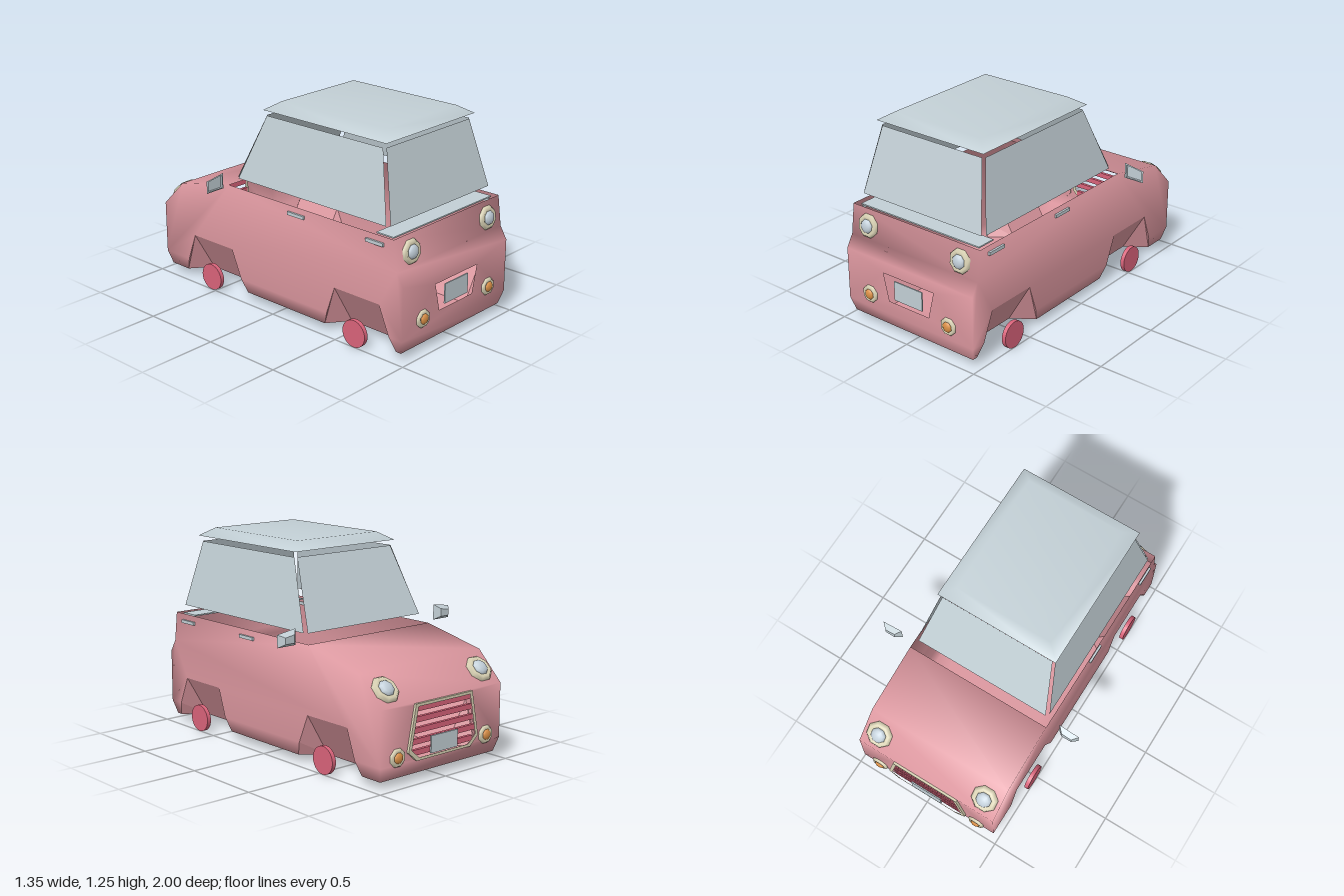
import * as THREE from 'three';
import { mergeVertices } from 'three/addons/utils/BufferGeometryUtils.js';

const paint = (name, color, side = THREE.FrontSide) => {
  const m = new THREE.MeshStandardMaterial({ color, side });
  m.name = name;
  return m;
};
const V = (x, y, z) => new THREE.Vector3(x, y, z);

// Collects triangles, all turned to face away from a centre point.
class Skin {
  constructor(centre) { this.centre = centre; this.data = []; }
  tri(a, b, c) {
    const n = b.clone().sub(a).cross(c.clone().sub(a));
    const out = a.clone().add(b).add(c).divideScalar(3).sub(this.centre);
    for (const p of n.dot(out) < 0 ? [a, c, b] : [a, b, c]) this.data.push(p.x, p.y, p.z);
  }
  quad(a, b, c, d) { this.tri(a, b, c); this.tri(a, c, d); }
  // flat outline with optional holes, placed in space by a map
  face(outline, holes, map) {
    const to2 = l => l.map(p => new THREE.Vector2(p[0], p[1]));
    const contour = to2(outline), inner = holes.map(to2);
    const all = [contour, ...inner].flat();
    for (const [a, b, c] of THREE.ShapeUtils.triangulateShape(contour, inner))
      this.tri(map(all[a]), map(all[b]), map(all[c]));
  }
  geometry(smooth) {
    let g = new THREE.BufferGeometry();
    g.setAttribute('position', new THREE.Float32BufferAttribute(this.data, 3));
    if (smooth) g = mergeVertices(g, 1e-4);
    g.computeVertexNormals();
    return g;
  }
}

export function createModel() {
  const car = new THREE.Group();
  car.name = 'car';
  const body = paint('bodyPink', 0xdc979f, THREE.DoubleSide);
  const rose = paint('wheelRose', 0xd9637a);
  const glass = paint('paleGrey', 0xc3d0d6, THREE.DoubleSide);
  const cream = paint('creamTrim', 0xd9d2b4);
  const lens = paint('lampGrey', 0xc2cfd9);
  const amber = paint('amber', 0xdb9046);
  const add = (name, geo, mat, parent = car) => {
    const m = new THREE.Mesh(geo, mat);
    m.name = name;
    parent.add(m);
    return m;
  };
  const box = (name, mat, w, h, d, x, y, z) =>
    add(name, new THREE.BoxGeometry(w, h, d), mat).position.set(x, y, z);

  // Body shell: flat sides with arch notches, chamfered sill, open top
  const W = 0.473, F = 0.45, D = 0.32, floorY = 0.045;
  const upper = [[-0.97, 0.455], [-0.8, 0.625], [-0.38, 0.715], [0.9, 0.715], [0.925, 0.53], [0.97, 0.455]];
  const sill = [[0.97, 0.13], [0.875, 0.13], [0.8, 0.305], [0.47, 0.305], [0.41, 0.13],
    [-0.295, 0.13], [-0.37, 0.305], [-0.7, 0.305], [-0.765, 0.13], [-0.97, 0.13]];
  const floor = [[F, 0.945], [F, 0.91], [D, 0.8], [D, 0.47], [F, 0.375],
    [F, -0.26], [D, -0.37], [D, -0.7], [F, -0.8], [F, -0.945]];
  const grille = [[-0.21, 0.44], [0.21, 0.44], [0.26, 0.19], [0.2, 0.13 + 0.008], [-0.2, 0.138], [-0.26, 0.19]];
  const recess = [[-0.19, 0.385], [0.19, 0.385], [0.15, 0.215], [-0.15, 0.215]];

  const shell = new Skin(V(0, 0.4, 0)), arches = new Skin(V(0, 0.4, 0));
  for (const s of [1, -1]) {
    shell.face([...upper, ...sill], [], p => V(s * W, p.y, p.x));
    for (let i = 0; i < sill.length - 1; i++) {
      const isArch = (i >= 1 && i <= 3) || (i >= 5 && i <= 7);
      const lo = k => V(s * floor[k][0], floorY, floor[k][1]);
      const hi = k => V(s * W, sill[k][1], sill[k][0]);
      (isArch ? arches : shell).quad(hi(i), hi(i + 1), lo(i + 1), lo(i));
    }
  }
  shell.face([...floor, ...floor.map(([x, z]) => [-x, z]).reverse()], [], p => V(p.x, floorY, p.y));
  for (const i of [0, 1, 3, 4]) {
    const [[z0, y0], [z1, y1]] = [upper[i], upper[i + 1]];
    shell.quad(V(-W, y0, z0), V(W, y0, z0), V(W, y1, z1), V(-W, y1, z1));
  }
  for (const [s, hole] of [[-1, grille], [1, recess]]) {
    shell.face([[-W, 0.13], [W, 0.13], [W, 0.455], [-W, 0.455]], [hole], p => V(p.x, p.y, s * 0.97));
    shell.quad(V(-W, 0.13, s * 0.97), V(W, 0.13, s * 0.97), V(F, floorY, s * 0.945), V(-F, floorY, s * 0.945));
  }
  add('bodyShell', shell.geometry(true), body);
  add('wheelArches', arches.geometry(false), body);

  // Roof cap
  const ring = (x, y, z0, z1) => [V(-x, y, z0), V(x, y, z0), V(x, y, z1), V(-x, y, z1)];
  const roof = new Skin(V(0, 1, 0.3));
  const eave = ring(0.39, 1.205, -0.165, 0.767), crown = ring(0.31, 1.255, -0.09, 0.695);
  for (let i = 0; i < 4; i++) roof.quad(eave[i], eave[(i + 1) % 4], crown[(i + 1) % 4], crown[i]);
  roof.quad(...crown);
  add('roof', roof.geometry(true), glass);

  // Window panes, separated at the corners
  const pane = (name, a, b, c, d) => {
    const p = new Skin(V(0, 0.9, 0.26));
    p.quad(a, b, c, d);
    add(name, p.geometry(true), glass);
  };
  const yb = 0.768, yt = 1.172;
  for (const s of [1, -1])
    pane(s > 0 ? 'leftWindow' : 'rightWindow', V(s * 0.455, yb, -0.315), V(s * 0.455, yb, 0.83),
      V(s * 0.378, yt, 0.735), V(s * 0.378, yt, -0.145));
  for (const [name, z0, z1] of [['windscreen', -0.335, -0.155], ['tailWindow', 0.848, 0.748]])
    pane(name, V(-0.44, yb, z0), V(0.44, yb, z0), V(0.365, yt, z1), V(-0.365, yt, z1));
  box('parcelShelf', glass, 0.88, 0.008, 0.12, 0, 0.708, 0.81);

  // Grille: cream frame with rose slats
  const frame = new THREE.Shape(grille.map(([x, y]) => new THREE.Vector2(x * 1.06, (y - 0.29) * 1.07 + 0.29)));
  frame.holes.push(new THREE.Path(grille.map(([x, y]) => new THREE.Vector2(x * 0.97, (y - 0.29) * 0.96 + 0.29))));
  add('grilleFrame', new THREE.ExtrudeGeometry(frame, { depth: 0.025, bevelEnabled: false }), cream)
    .position.z = -0.985;
  for (let i = 0; i < 5; i++) {
    const y = 0.172 + i * 0.062;
    const half = y < 0.19 ? 0.235 : 0.26 - (y - 0.19) * 0.2;
    box('grilleSlat', rose, half * 2, 0.032, 0.02, 0, y, -0.965);
  }
  box('nosePlate', glass, 0.21, 0.1, 0.008, 0, 0.2, -0.984);
  box('tailPlate', glass, 0.21, 0.12, 0.008, 0, 0.3, 0.97);

  // Octagonal lamps with cream rims
  const lamp = (name, mat, r, x, y, z, normal) => {
    const g = new THREE.Group();
    g.name = name;
    const profile = [[1, -0.1], [1, 0.12], [0.82, 0.32], [0.55, 0.22]].map(([a, b]) => new THREE.Vector2(a * r, b * r));
    add('lampRim', new THREE.LatheGeometry(profile, 8, Math.PI / 8), cream, g);
    const bulb = add('lampLens', new THREE.SphereGeometry(r * 0.6, 8, 4, 0, Math.PI * 2, 0, Math.PI / 2), mat, g);
    bulb.scale.y = 0.55;
    bulb.position.y = r * 0.2;
    bulb.rotation.y = Math.PI / 8;
    g.position.set(x, y, z);
    g.quaternion.setFromUnitVectors(V(0, 1, 0), normal.normalize());
    car.add(g);
  };
  for (const s of [1, -1]) {
    lamp('headlamp', lens, 0.085, s * 0.37, 0.535, -0.89, V(0, 1, -1));
    lamp('noseIndicator', amber, 0.055, s * 0.35, 0.17, -0.97, V(0, 0, -1));
    lamp('tailLamp', lens, 0.073, s * 0.345, 0.615, 0.914, V(0, 0.13, 1));
    lamp('tailIndicator', amber, 0.055, s * 0.298, 0.215, 0.97, V(0, 0, 1));

    // Wheels
    for (const z of [-0.53, 0.64]) {
      const w = add('wheel', new THREE.CylinderGeometry(0.083, 0.083, 0.026, 28), rose);
      w.rotation.z = Math.PI / 2;
      w.position.set(s * 0.487, 0.083, z);
    }
    // Door handles
    for (const z of [0.178, 0.77]) box('doorHandle', glass, 0.018, 0.02, 0.126, s * 0.477, 0.668, z);

    // Door mirrors: tapered housing with a sunken mirror face
    const outline = (k, z) => [[0.545, 0.815], [0.675, 0.795], [0.675, 0.72], [0.545, 0.72]]
      .map(([x, y]) => V(s * (0.61 + (x - 0.61) * k), 0.762 + (y - 0.762) * k, z));
    const loops = [outline(0.5, -0.385), outline(1, -0.352), outline(0.82, -0.35), outline(0.78, -0.36)];
    const mirror = new Skin(V(s * 0.61, 0.762, -0.366));
    mirror.quad(...loops[0]);
    mirror.quad(...loops[3]);
    for (let k = 0; k < 3; k++)
      for (let i = 0; i < 4; i++) {
        const j = (i + 1) % 4;
        mirror.quad(loops[k][i], loops[k][j], loops[k + 1][j], loops[k + 1][i]);
      }
    add('doorMirror', mirror.geometry(false), glass);
  }
  return car;
}
